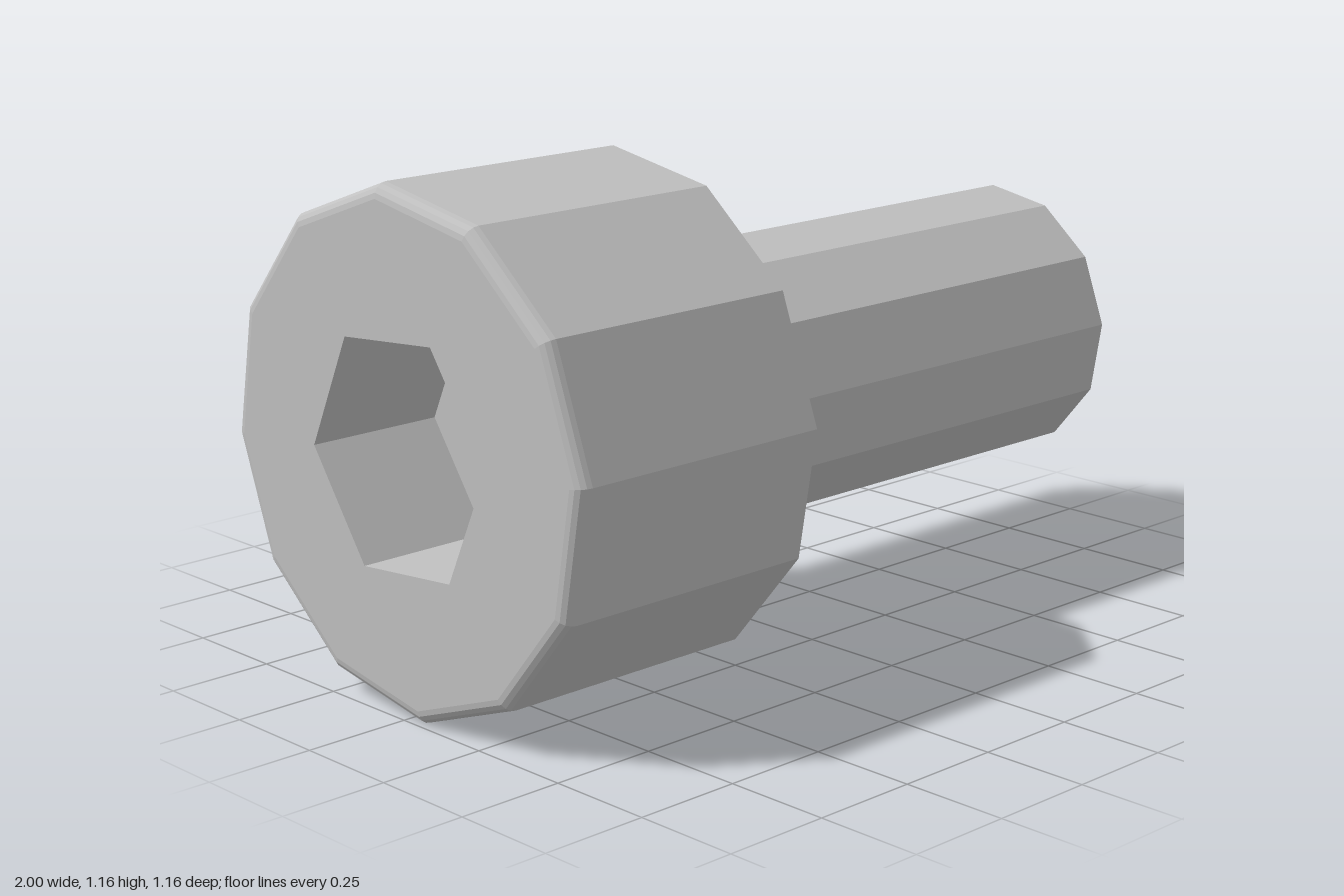
import * as THREE from 'three';

const TURN = THREE.MathUtils.degToRad(5); // facets are turned slightly about the axis
const HEAD_R = 0.583, SHAFT_R = 0.333, SOCKET_R = 0.289, ROUND = 0.033;
const UNDER_HEAD = -0.333;

// Separate vertices so every facet is flat
function faceted(geometry) {
  const g = geometry.index ? geometry.toNonIndexed() : geometry;
  g.computeVertexNormals();
  return g;
}

// Turned part along x; profile points are [radius, x]
function turned(profile, sides) {
  const points = profile.map(([r, x]) => new THREE.Vector2(r, x));
  return faceted(new THREE.LatheGeometry(points, sides, -TURN, Math.PI * 2).rotateZ(-Math.PI / 2));
}

// Quarter round about a centre, as [radius, x] points
function arc(cr, cx, from, to, steps = 4) {
  return Array.from({ length: steps + 1 }, (_, i) => {
    const a = from + ((to - from) * i) / steps;
    return [cr + ROUND * Math.cos(a), cx + ROUND * Math.sin(a)];
  });
}

function polygon(radius, sides) {
  return Array.from({ length: sides }, (_, i) => {
    const a = TURN + (i * Math.PI * 2) / sides;
    return new THREE.Vector2(radius * Math.cos(a), radius * Math.sin(a));
  });
}

export function createModel() {
  const model = new THREE.Group();
  model.name = 'socketHeadScrew';
  const steel = new THREE.MeshStandardMaterial({ color: 0xc0c0c0 });
  steel.name = 'steel grey';

  const add = (name, geometry) => {
    const mesh = new THREE.Mesh(geometry, steel);
    mesh.name = name;
    model.add(mesh);
  };

  // Head with rounded outer rim and flat underside
  add('head', turned([
    ...arc(HEAD_R - ROUND, -1 + ROUND, -Math.PI / 2, 0),
    [HEAD_R, UNDER_HEAD],
    [SHAFT_R + ROUND, UNDER_HEAD],
  ], 12));

  // End face of the head, pierced by the hexagon
  const face = new THREE.Shape(polygon(HEAD_R - ROUND, 12));
  face.holes.push(new THREE.Path(polygon(SOCKET_R, 6)));
  add('headFace', faceted(new THREE.ShapeGeometry(face).rotateY(-Math.PI / 2).translate(-1, 0, 0)));

  // Hexagonal socket: floor and inward-facing walls
  add('hexSocket', turned([[0, -0.667], [SOCKET_R, -0.667], [SOCKET_R, -1]], 6));

  // Shaft with a fillet under the head and a chamfered tip
  add('shaft', turned([
    ...arc(SHAFT_R + ROUND, UNDER_HEAD + ROUND, -Math.PI / 2, -Math.PI),
    [SHAFT_R, 0.94],
    [0.233, 1],
    [0, 1],
  ], 12));

  // Rest the head on the ground
  model.position.y = HEAD_R * Math.cos(TURN);
  return model;
}
